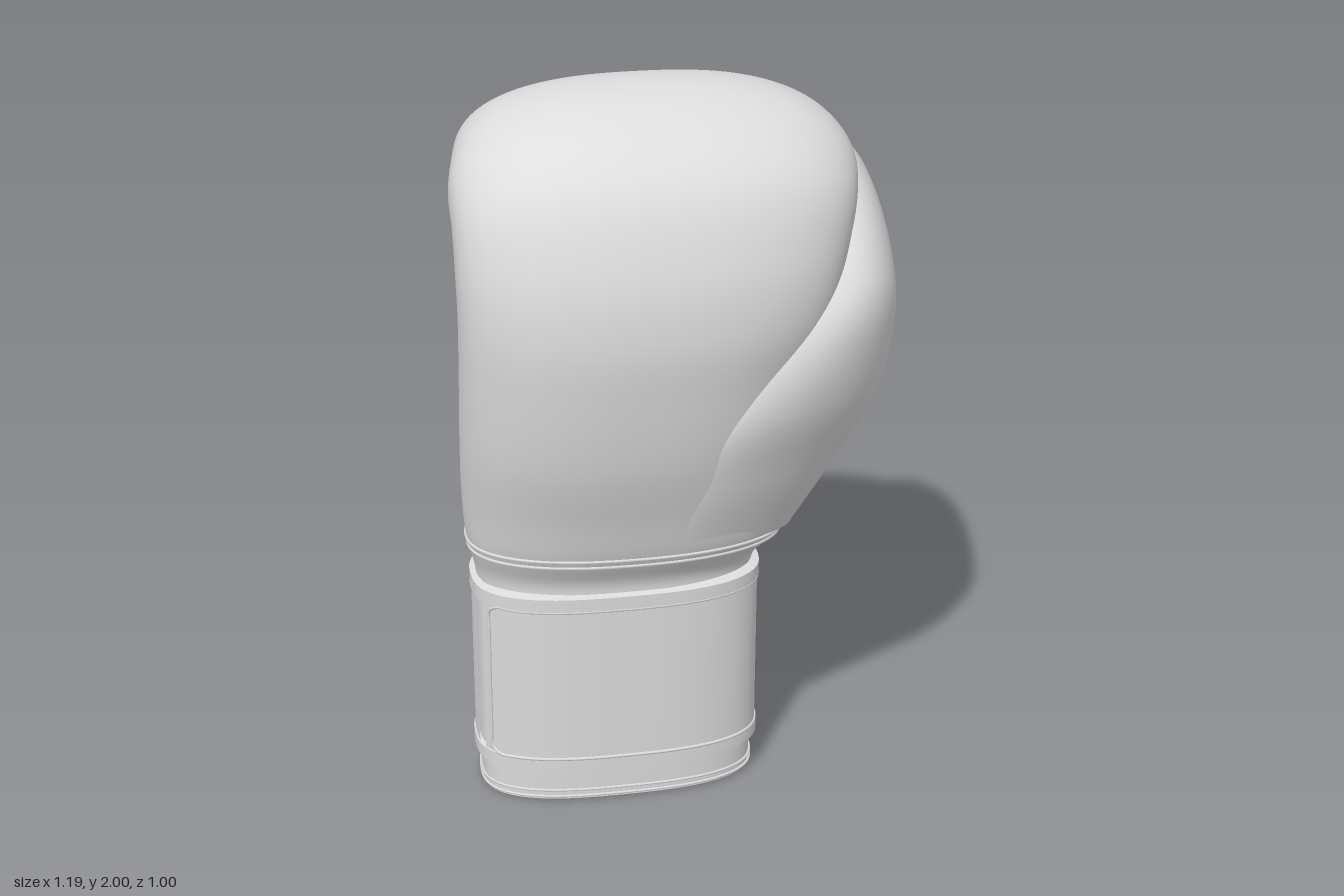
import * as THREE from 'three';
import { toCreasedNormals } from 'three/addons/utils/BufferGeometryUtils.js';

const leather = new THREE.MeshStandardMaterial({ color: 0xdddddd, side: THREE.DoubleSide });
leather.name = 'pale leather';
const dark = new THREE.MeshStandardMaterial({ color: 0x2b2b2b });
dark.name = 'dark tether';

// A section is [outer z, outer y, inner z, inner y, min x, max x]; squareness(s) is its superellipse power.
// Returns a function giving the surface point at section number s and angle a.
function makeSurface(sections, squareness, adjust) {
  const curve = (f) => new THREE.CatmullRomCurve3(sections.map(f), false, 'catmullrom', 0.5);
  const outer = curve((q) => new THREE.Vector3(0, q[1], q[0]));
  const inner = curve((q) => new THREE.Vector3(0, q[3], q[2]));
  const width = curve((q) => new THREE.Vector3(q[4], q[5], 0));
  const last = sections.length - 1;
  const point = (s, a) => {
    const c = Math.cos(a), d = Math.sin(a), t = s / last, n = squareness(s);
    const r = Math.pow(Math.abs(c) ** n + Math.abs(d) ** n, -1 / n);
    const w = width.getPoint(t);
    const p = inner.getPoint(t).lerp(outer.getPoint(t), (1 + r * d) / 2);
    p.x = (w.x + w.y) / 2 + (r * c * (w.y - w.x)) / 2;
    return adjust ? adjust(p, s, d) : p;
  };
  // point on the palm side at a given x
  const palm = (s, x) => {
    const w = width.getPoint(s / last), n = squareness(s);
    const u = (2 * x - w.x - w.y) / (w.y - w.x);
    return point(s, Math.atan2(-Math.pow(Math.max(0, 1 - Math.abs(u) ** n), 1 / n), u));
  };
  return { point, palm, last };
}

// Skin a surface; optional angular range leaves it open, caps close its ends
function skin(surface, rows, cols, { from = 0, to = Math.PI * 2, caps = '' } = {}) {
  const closed = to - from > 6.283;
  const ring = closed ? cols : cols + 1;
  const pos = [], index = [];
  for (let i = 0; i <= rows; i++) {
    for (let j = 0; j < ring; j++) {
      pos.push(...surface.point((i / rows) * surface.last, from + ((to - from) * j) / cols).toArray());
    }
  }
  for (let i = 0; i < rows; i++) {
    for (let j = 0; j < cols; j++) {
      const k = (j + 1) % ring, a = i * ring + j, b = i * ring + k;
      index.push(a, a + ring, b, b, a + ring, b + ring);
    }
  }
  const cap = (row, flip) => {
    const s = (row / rows) * surface.last;
    const mid = surface.point(s, 0).add(surface.point(s, Math.PI)).multiplyScalar(0.5);
    const m = pos.length / 3;
    pos.push(...mid.toArray());
    for (let j = 0; j < ring; j++) {
      const a = row * ring + j, b = row * ring + ((j + 1) % ring);
      index.push(m, ...(flip ? [a, b] : [b, a]));
    }
  };
  if (caps.includes('start')) cap(0, true);
  if (caps.includes('end')) cap(rows, false);
  const g = new THREE.BufferGeometry();
  g.setAttribute('position', new THREE.Float32BufferAttribute(pos, 3));
  g.setIndex(index);
  g.computeVertexNormals();
  return g;
}

export function createModel() {
  const glove = new THREE.Group();
  glove.name = 'boxingGlove';
  const add = (name, geometry, material = leather) => {
    const mesh = new THREE.Mesh(geometry, material);
    mesh.name = name;
    glove.add(mesh);
    return mesh;
  };
  const seam = (name, points, radius = 0.005, closed = false) =>
    add(name, new THREE.TubeGeometry(new THREE.CatmullRomCurve3(points, closed), points.length * 4, radius, 6, closed));
  const steps = (n, f) => Array.from({ length: n + 1 }, (_, i) => f(i / n));
  const { smoothstep } = THREE.MathUtils;

  // Padded mitt: rises up the back of the hand, rolls over and curls into a fist
  const slotX = -0.17;
  const mitt = makeSurface([
    [0.285, 0.62, -0.11, 0.62, -0.55, 0.20],
    [0.29, 0.69, -0.11, 0.69, -0.56, 0.22],
    [0.34, 0.78, -0.115, 0.78, -0.58, 0.29],
    [0.38, 0.90, -0.12, 0.90, -0.59, 0.30],
    [0.44, 1.08, -0.09, 1.06, -0.595, 0.30],
    [0.48, 1.28, -0.05, 1.26, -0.595, 0.33],
    [0.50, 1.46, -0.02, 1.43, -0.595, 0.385],
    [0.475, 1.65, -0.01, 1.50, -0.597, 0.42],
    [0.385, 1.845, -0.01, 1.53, -0.597, 0.455],
    [0.20, 1.965, -0.02, 1.54, -0.595, 0.475],
    [0.00, 2.00, -0.035, 1.545, -0.575, 0.455],
    [-0.20, 1.955, -0.05, 1.545, -0.555, 0.41],
    [-0.37, 1.835, -0.07, 1.535, -0.53, 0.37],
    [-0.47, 1.68, -0.09, 1.51, -0.51, 0.345],
    [-0.50, 1.53, -0.11, 1.46, -0.49, 0.33],
    [-0.485, 1.40, -0.14, 1.40, -0.47, 0.30],
    [-0.44, 1.30, -0.18, 1.33, -0.45, 0.27],
    [-0.385, 1.24, -0.23, 1.275, -0.41, 0.23],
    [-0.33, 1.222, -0.27, 1.24, -0.36, 0.18],
  ], (s) => 2.3 + 0.45 * smoothstep(s, 8, 13), (p, s, d) => {
    // sunken wrist opening down the palm
    if (d < 0 && s < 5) p.z += 0.07 * Math.exp(-(((p.x - slotX) / 0.03) ** 4)) * Math.min(1, (5 - s) * 2);
    return p;
  });
  add('mitt', skin(mitt, 126, 160, { caps: 'start end' }));

  // Thumb: flows out of the back of the hand, bending towards the palm at its tip
  const thumb = makeSurface([
    [0.34, 0.79, 0.06, 0.79, 0.00, 0.292],
    [0.402, 1.00, -0.01, 0.98, 0.02, 0.425],
    [0.443, 1.20, -0.09, 1.11, 0.06, 0.53],
    [0.42, 1.39, -0.20, 1.19, 0.10, 0.58],
    [0.335, 1.54, -0.31, 1.29, 0.17, 0.595],
    [0.18, 1.67, -0.39, 1.40, 0.24, 0.59],
    [0.00, 1.76, -0.42, 1.52, 0.27, 0.565],
    [-0.12, 1.79, -0.41, 1.62, 0.30, 0.52],
    [-0.20, 1.785, -0.37, 1.70, 0.345, 0.47],
    [-0.26, 1.765, -0.31, 1.74, 0.38, 0.43],
  ], () => 2.2, (p, s, d) => {
    // lean the front of the thumb root over the hand so the two meet flush
    p.x -= 0.2 * (1 - smoothstep(s, 1.2, 4)) * Math.max(0, d) ** 1.5;
    return p;
  });
  add('thumb', skin(thumb, 72, 80, { caps: 'end' }));

  // Dark tether joining thumb and fist
  const tether = add('thumbTether', new THREE.BoxGeometry(0.042, 0.03, 0.145), dark);
  tether.position.set(0.385, 1.793, -0.222);
  tether.rotation.set(-0.28, 0.25, 0);

  // Wrist bands: a hollow wall between y0 and y1, grown outwards by g
  const wall = (y0, y1, g, thick, dz = 0) => {
    const row = (y, o) => [0.29 + o + dz * (0.66 - y), y, -0.115 - o, y, -0.555 - o, 0.21 + o];
    return makeSurface([row(y1, g - thick), row(y0, g - thick), row(y0 + 0.004, g), row(y1 - 0.004, g), row(y1, g - thick)], () => 2.7);
  };
  const band = (name, surface, range) => add(name, toCreasedNormals(skin(surface, 4, 96, range), 0.6));
  band('cuff', wall(0.1, 0.66, 0.003, 0.02, -0.04));
  band('cuffTopTrim', wall(0.61, 0.66, 0.016, 0.02, -0.04));
  band('cuffBottomTrim', wall(0.11, 0.155, 0.016, 0.02, -0.04));
  const strap = wall(0.135, 0.63, 0.012, 0.012, -0.04);
  band('strap', strap, { from: -3.4, to: 2.72 });

  // Split lining showing below the cuff
  const lining = wall(0.005, 0.62, -0.003, 0.015, -0.045);
  const gap = { from: -Math.PI / 2 + 0.09, to: Math.PI * 1.5 - 0.09 };
  band('lining', lining, gap);
  for (const y of [0.015, 0.035]) {
    const edge = wall(y, y + 0.008, 0.0, 0.004, -0.045);
    seam('liningHem', steps(64, (t) => edge.point(2, gap.from + (gap.to - gap.from) * t)), 0.004);
  }

  // Strap stitching with rounded end corners
  const strapPath = [
    ...steps(48, (t) => strap.point(2.96, -3.3 + 5.8 * t)),
    ...steps(8, (t) => strap.point(2.9 - 0.8 * t, 2.6)),
    ...steps(48, (t) => strap.point(2.04, 2.5 - 5.8 * t)),
  ];
  seam('strapStitching', strapPath, 0.005);

  // Double welt where the padding meets the wrist
  for (const s of [1.8, 2.02]) {
    seam('wristWelt', steps(79, (t) => mitt.point(s, t * Math.PI * 2 * 79 / 80)), 0.006, true);
  }

  // Palm: rim of the opening, flanking stitch lines and crossed stitches
  const arch = (half, top) => [
    ...steps(12, (t) => mitt.palm(1.3 + (top - 1.3) * t, slotX - half)),
    ...steps(4, (t) => mitt.palm(top + 0.3 * Math.sin(Math.PI * (0.1 + 0.8 * t)), slotX - half * Math.cos(Math.PI * (0.1 + 0.8 * t)))),
    ...steps(12, (t) => mitt.palm(top - (top - 1.3) * t, slotX + half)),
  ];
  seam('openingRim', arch(0.05, 4.75), 0.012);
  for (const side of [-1, 1]) {
    for (const off of [0.08, 0.14]) {
      seam('palmStitch', steps(12, (t) => mitt.palm(1.4 + 3.8 * t, slotX + side * (off + 0.02 * t))), 0.004);
    }
    for (const [a, b] of [[0.085, 0.14], [0.14, 0.085]]) {
      seam('crossStitch', steps(4, (t) => mitt.palm(3.2 + 0.6 * t, slotX + side * (a + (b - a) * t))), 0.004);
    }
    for (const s of [3.2, 3.8]) {
      seam('barStitch', steps(3, (t) => mitt.palm(s, slotX + side * (0.085 + 0.055 * t))), 0.004);
    }
  }
  seam('palmEdgeSeam', steps(14, (t) => mitt.palm(1.4 + 4.4 * t, -0.46 - 0.06 * Math.sin(t * Math.PI))), 0.007);

  // Seams along the palm side of the thumb
  seam('thumbSeam', steps(20, (t) => thumb.point(0.1 + 6.2 * t, -0.95 - 0.7 * t)), 0.006);
  seam('thumbSeam', steps(20, (t) => thumb.point(0.3 + 5.5 * t, -1.6 - 0.4 * t)), 0.006);

  return glove;
}
